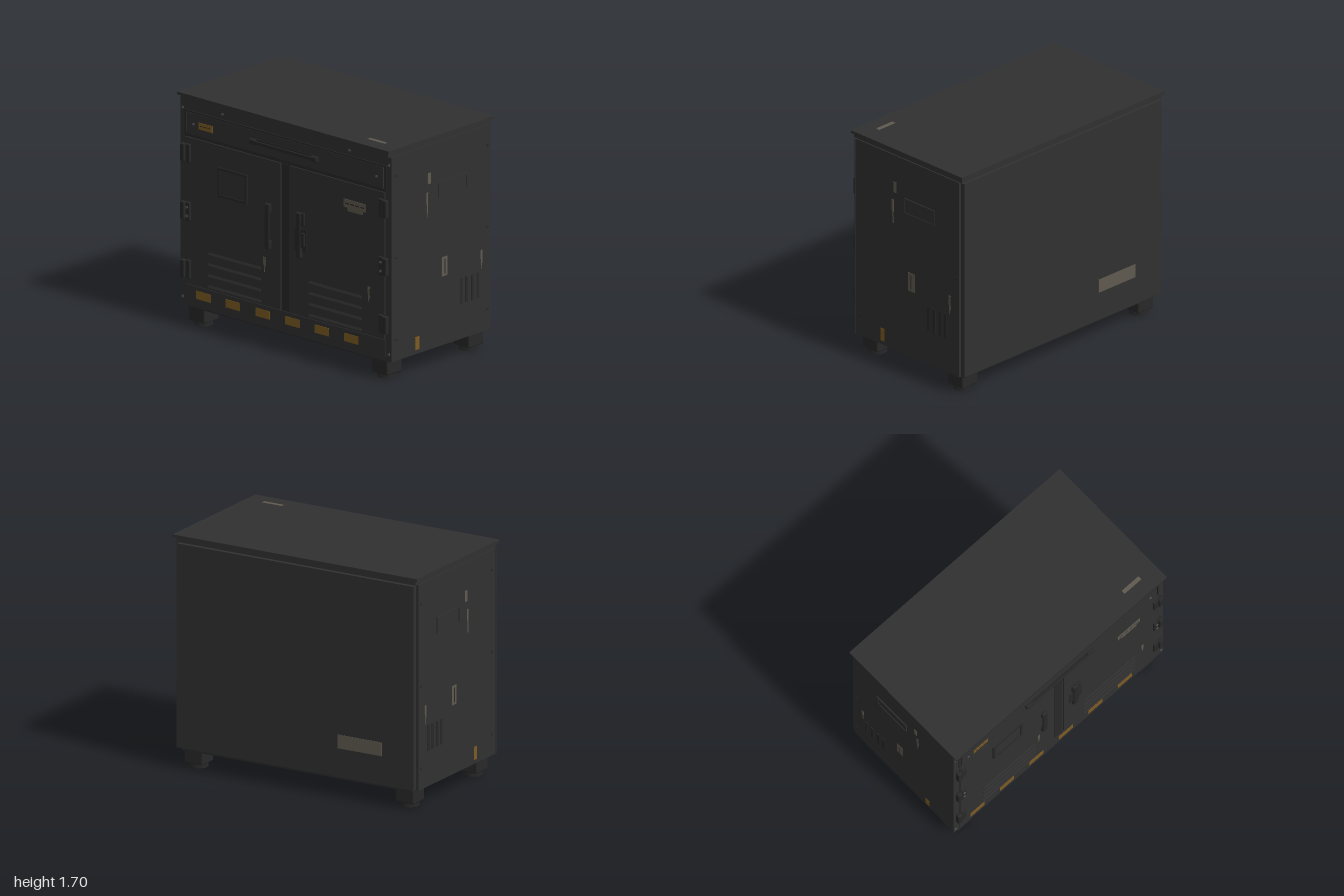
import * as THREE from 'three';
import { RoundedBoxGeometry } from 'three/addons/geometries/RoundedBoxGeometry.js';

export function createModel() {
  const root = new THREE.Group();
  root.name = 'cabinet';
  const material = (name, color) => {
    const m = new THREE.MeshStandardMaterial({ color });
    m.name = name;
    return m;
  };
  const body = material('charcoal paint', 0x303030);
  const dark = material('dark fittings', 0x282828);
  const amber = material('amber marking', 0x7d5b22);
  const label = material('grey label', 0x5f5a4f);
  const steel = material('worn steel', 0x555555);

  const add = (name, geometry, mat, x = 0, y = 0, z = 0) => {
    const m = new THREE.Mesh(geometry, mat);
    m.name = name;
    m.position.set(x, y, z);
    root.add(m);
    return m;
  };
  // Boxes are given by their limits on each axis
  const box = (name, mat, x0, x1, y0, y1, z0, z1) =>
    add(name, new THREE.BoxGeometry(Math.abs(x1 - x0), y1 - y0, z1 - z0), mat,
      (x0 + x1) / 2, (y0 + y1) / 2, (z0 + z1) / 2);
  const rounded = (name, mat, x0, x1, y0, y1, z0, z1, r = 0.008) =>
    add(name, new RoundedBoxGeometry(x1 - x0, y1 - y0, z1 - z0, 2, r), mat,
      (x0 + x1) / 2, (y0 + y1) / 2, (z0 + z1) / 2);
  const boltGeometry = new THREE.CylinderGeometry(0.01, 0.01, 0.008, 10);
  const frontBolt = (x, y, z, mat = steel) => {
    add('frontBolt', boltGeometry, mat, x, y, z).rotation.x = Math.PI / 2;
  };
  // Flat rectangular ring in the XY plane
  const ring = (w, h, t, depth) => {
    const rect = (P, a, b) => new P([
      new THREE.Vector2(-a, -b), new THREE.Vector2(a, -b),
      new THREE.Vector2(a, b), new THREE.Vector2(-a, b)]);
    const shape = rect(THREE.Shape, w / 2, h / 2);
    shape.holes.push(rect(THREE.Path, w / 2 - t, h / 2 - t));
    return new THREE.ExtrudeGeometry(shape, { depth, bevelEnabled: false });
  };
  // Chipped-paint streak that narrows downward
  const streak = (h) => new THREE.ExtrudeGeometry(new THREE.Shape([
    [-0.01, h / 2], [-0.01, h * 0.05], [-0.005, 0], [-0.003, -h / 2],
    [0.003, -h / 2], [0.008, 0], [0.01, h / 2],
  ].map(([x, y]) => new THREE.Vector2(x, y))), { depth: 0.003, bevelEnabled: false });

  // Main case, top and base
  box('case', body, -0.99, 0.99, 0.145, 1.645, -0.51, 0.505);
  box('topRecess', body, -0.98, 0.98, 1.645, 1.68, -0.53, 0.535);
  box('topPanel', body, -1, 1, 1.68, 1.7, -0.548, 0.548);
  box('topLabel', label, 0.7, 0.86, 1.7, 1.703, 0.41, 0.44);
  box('basePlate', dark, -0.945, 0.945, 0.13, 0.147, -0.52, 0.5);
  box('frontFrame', body, -0.995, 0.995, 0.145, 1.645, 0.505, 0.515);
  box('backPanel', body, -0.97, 0.97, 0.15, 1.638, -0.542, -0.51);
  box('backLabel', label, -0.71, -0.35, 0.36, 0.46, -0.545, -0.542);

  // Feet with octagonal pads
  for (const x of [-0.865, 0.865]) for (const z of [-0.42, 0.42]) {
    rounded('foot', dark, x - 0.075, x + 0.075, 0.03, 0.135, z - 0.075, z + 0.075, 0.01);
    add('footPad', new THREE.CylinderGeometry(0.07, 0.07, 0.034, 8), dark, x, 0.017, z)
      .rotation.y = Math.PI / 8;
  }

  // Drawer
  add('drawerSurround', ring(1.9, 0.18, 0.012, 0.008), dark, 0, 1.487, 0.515);
  box('drawerFront', body, -0.925, 0.925, 1.409, 1.565, 0.515, 0.526);
  box('drawerHandleBack', dark, -0.325, 0.315, 1.465, 1.507, 0.526, 0.53);
  rounded('drawerHandle', dark, -0.315, 0.305, 1.473, 1.5, 0.538, 0.55, 0.005);
  for (const x of [-0.295, 0.285])
    rounded('drawerHandleMount', dark, x - 0.03, x + 0.03, 1.465, 1.507, 0.526, 0.548);
  box('drawerLabel', amber, -0.815, -0.68, 1.46, 1.51, 0.526, 0.529);
  for (let i = 0; i < 3; i++)
    box('labelMark', dark, -0.8 + i * 0.035, -0.775 + i * 0.035, 1.482, 1.488, 0.529, 0.53);

  // Doors, louvres, hinges and front bolts
  for (const s of [-1, 1]) {
    const c = s * 0.4925;
    box('door', body, c - 0.4475, c + 0.4475, 0.305, 1.38, 0.515, 0.524);
    for (let i = 0; i < 4; i++) {
      const louvre = box('doorLouvre', body, s * 0.475 - 0.245, s * 0.475 + 0.245,
        0.32 + i * 0.08, 0.338 + i * 0.08, 0.52, 0.53);
      louvre.rotation.x = -0.35;
    }
    for (const y of [0.415, 0.84, 1.265]) {
      rounded('hingeLeaf', dark, s * 0.912 - 0.022, s * 0.912 + 0.022, y - 0.068, y + 0.068, 0.515, 0.54);
      rounded('hingeBarrel', dark, s * 0.955 - 0.02, s * 0.955 + 0.02, y - 0.065, y + 0.065, 0.515, 0.549);
    }
    for (const y of [0.805, 0.87]) frontBolt(s * 0.915, y, 0.541);
    for (const y of [0.2, 1.585]) frontBolt(s * 0.975, y, 0.516);
    frontBolt(s * 0.6, 1.615, 0.516);
    frontBolt(s * 0.865, 1.485, 0.527);
  }
  box('centrePost', dark, -0.035, 0.03, 0.305, 1.38, 0.515, 0.519);
  box('drawerDivider', dark, -0.945, 0.945, 1.386, 1.396, 0.515, 0.522);

  // Door grips and latch
  for (const x of [-0.152, 0.142]) {
    rounded('doorHandle', dark, x - 0.02, x + 0.02, 0.735, 1.06, 0.537, 0.55, 0.005);
    for (const y of [0.765, 1.03])
      rounded('doorHandleMount', dark, x - 0.024, x + 0.024, y - 0.035, y + 0.035, 0.522, 0.546);
  }
  box('latchPlate', dark, 0.097, 0.207, 0.78, 0.945, 0.524, 0.531);
  rounded('latchBlock', dark, 0.115, 0.192, 0.97, 1.065, 0.522, 0.54);
  rounded('latchKnob', dark, 0.165, 0.192, 0.82, 0.92, 0.525, 0.542, 0.005);

  // Small display on the right-hand door of the model
  add('displayFrame', ring(0.275, 0.215, 0.018, 0.01), dark, -0.495, 1.115, 0.523);
  box('displayPanel', body, -0.615, -0.375, 1.025, 1.205, 0.523, 0.527);

  // Door label and paint chips
  box('doorLabel', label, 0.555, 0.765, 1.195, 1.255, 0.524, 0.527);
  box('doorLabelTab', label, 0.59, 0.73, 1.17, 1.195, 0.524, 0.527);
  for (let i = 0; i < 4; i++)
    box('labelMark', dark, 0.57 + i * 0.048, 0.605 + i * 0.048, 1.22, 1.228, 0.527, 0.528);
  for (const x of [-0.195, 0.79]) add('frontChip', streak(0.11), label, x, 0.605, 0.524);

  // Kick strip with amber markings
  box('kickStrip', body, -0.945, 0.945, 0.18, 0.3, 0.515, 0.521);
  for (let i = 0; i < 6; i++) {
    const x = -0.775 + i * 0.28;
    box('kickMarking', amber, x - 0.067, x + 0.067, 0.21, 0.27, 0.521, 0.524);
  }

  // Matching details on both sides
  for (const s of [-1, 1]) {
    const X = 0.99;
    const plate = (name, mat, z0, z1, y0, y1, t = 0.003, from = 0) =>
      box(name, mat, s * (X + from), s * (X + from + t), y0, y1, z0, z1);
    for (const z of [-0.482, 0.465]) for (const y of [0.3, 0.9, 1.5])
      add('sideBolt', boltGeometry, dark, s * X, y, z).rotation.z = Math.PI / 2;
    for (const z of [-0.378, -0.322, -0.264, -0.208])
      plate('sideVent', dark, z - 0.012, z + 0.012, 0.405, 0.59, 0.004);
    plate('sideGripPlate', body, -0.27, 0.03, 1.23, 1.35, 0.003);
    const grip = add('sideGripFrame', ring(0.3, 0.12, 0.012, 0.008), body, s * X, 1.29, -0.12);
    grip.rotation.y = s * Math.PI / 2;
    plate('sideTag', label, 0.105, 0.135, 1.36, 1.44);
    plate('sideLabel', label, -0.068, -0.008, 0.65, 0.79);
    plate('sideLabelMark', dark, -0.042, -0.034, 0.665, 0.775, 0.001, 0.003);
    plate('sideMarking', amber, 0.224, 0.264, 0.175, 0.27);
    for (const [z, y, h] of [[0.142, 1.21, 0.18], [-0.418, 0.675, 0.14]])
      add('sideChip', streak(h), label, s * X, y, z).rotation.y = s * Math.PI / 2;
  }
  return root;
}
